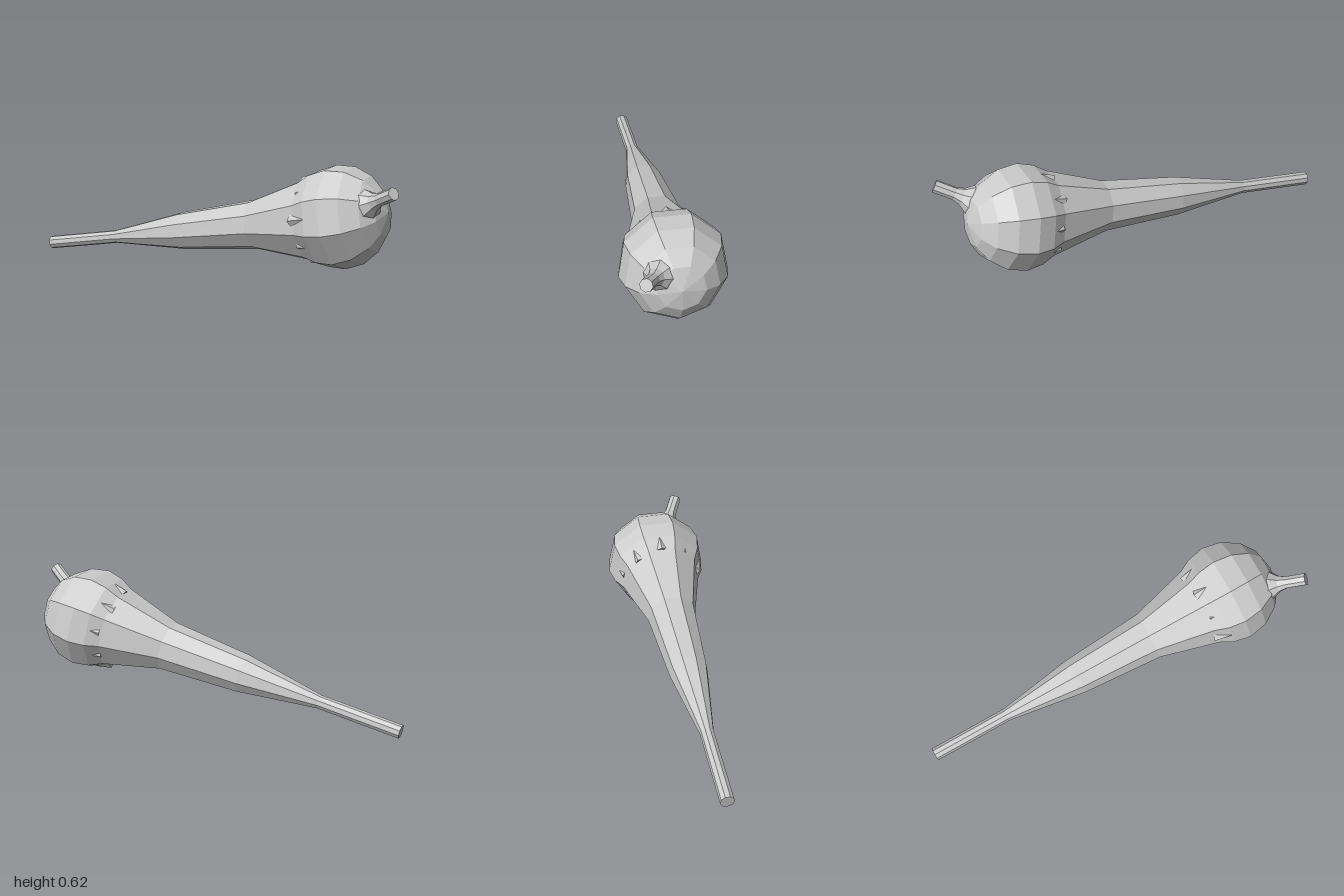
import * as THREE from 'three';

const V = (x, y, z) => new THREE.Vector3(x, y, z);
const SIDES = 9;
const material = new THREE.MeshStandardMaterial({ color: 0xcccccc, flatShading: true });

// Faceted solid of revolution from [radius, height] pairs, bottom to top
function turned(name, profile, sides) {
  const points = profile.map(([r, y]) => new THREE.Vector2(r, y));
  const mesh = new THREE.Mesh(new THREE.LatheGeometry(points, sides), material);
  mesh.name = name;
  return mesh;
}

// Group whose local y runs along dir, with local z pointing mostly downwards
function alongAxis(name, origin, dir) {
  const y = dir.clone().normalize();
  const z = V(0, -1, 0).addScaledVector(y, y.y).normalize();
  const x = V(0, 0, 0).crossVectors(y, z);
  const group = new THREE.Group();
  group.name = name;
  group.quaternion.setFromRotationMatrix(new THREE.Matrix4().makeBasis(x, y, z));
  group.position.copy(origin);
  return group;
}

export function createModel() {
  const model = new THREE.Group();
  model.name = 'bulb';
  const tailEnd = V(-0.99, 0.037, -0.39);
  const bulbCentre = V(0.69, 0.365, 0.11);
  const axis = bulbCentre.clone().sub(tailEnd);
  const length = axis.length();

  // Slim handle swelling into the round head, as one body
  const body = alongAxis('body', tailEnd, axis);
  const radius = 0.272;
  const profile = [
    [0, 0], [0.036, 0], [0.036, 0.44], [0.102, 0.87], [0.132, 1.31],
    [0.218, length - 0.16], [0.254, length - 0.09], [radius, length],
  ];
  for (const degrees of [68, 46, 26, 0]) {
    const a = THREE.MathUtils.degToRad(degrees);
    profile.push([degrees ? radius * Math.sin(a) : 0, length + radius * Math.cos(a)]);
  }
  body.add(turned('handleAndHead', profile, SIDES));

  // Small raised chips around the shoulder of the head
  for (let i = 0; i < SIDES; i++) {
    const a = ((i + 0.5) / SIDES) * Math.PI * 2;
    const chip = new THREE.Mesh(new THREE.ConeGeometry(0.03, 0.1, 4), material);
    chip.name = 'shoulderChip';
    chip.scale.z = 0.7;
    const r = i % 2 ? 0.215 : 0.222;
    chip.position.set(r * Math.sin(a), length - 0.13 + (i % 3) * 0.015, r * Math.cos(a));
    chip.rotation.set(0.42, a, 0, 'YXZ');
    body.add(chip);
  }
  model.add(body);

  // Short stem with a flared foot, rising straight out of the head
  const stem = alongAxis('stem', bulbCentre, V(0.29, 0.19, 0.285));
  stem.add(turned('stemPost', [
    [0.085, 0.235], [0.07, 0.262], [0.045, 0.295], [0.033, 0.335], [0.033, 0.443], [0, 0.443],
  ], 8));
  model.add(stem);
  return model;
}
